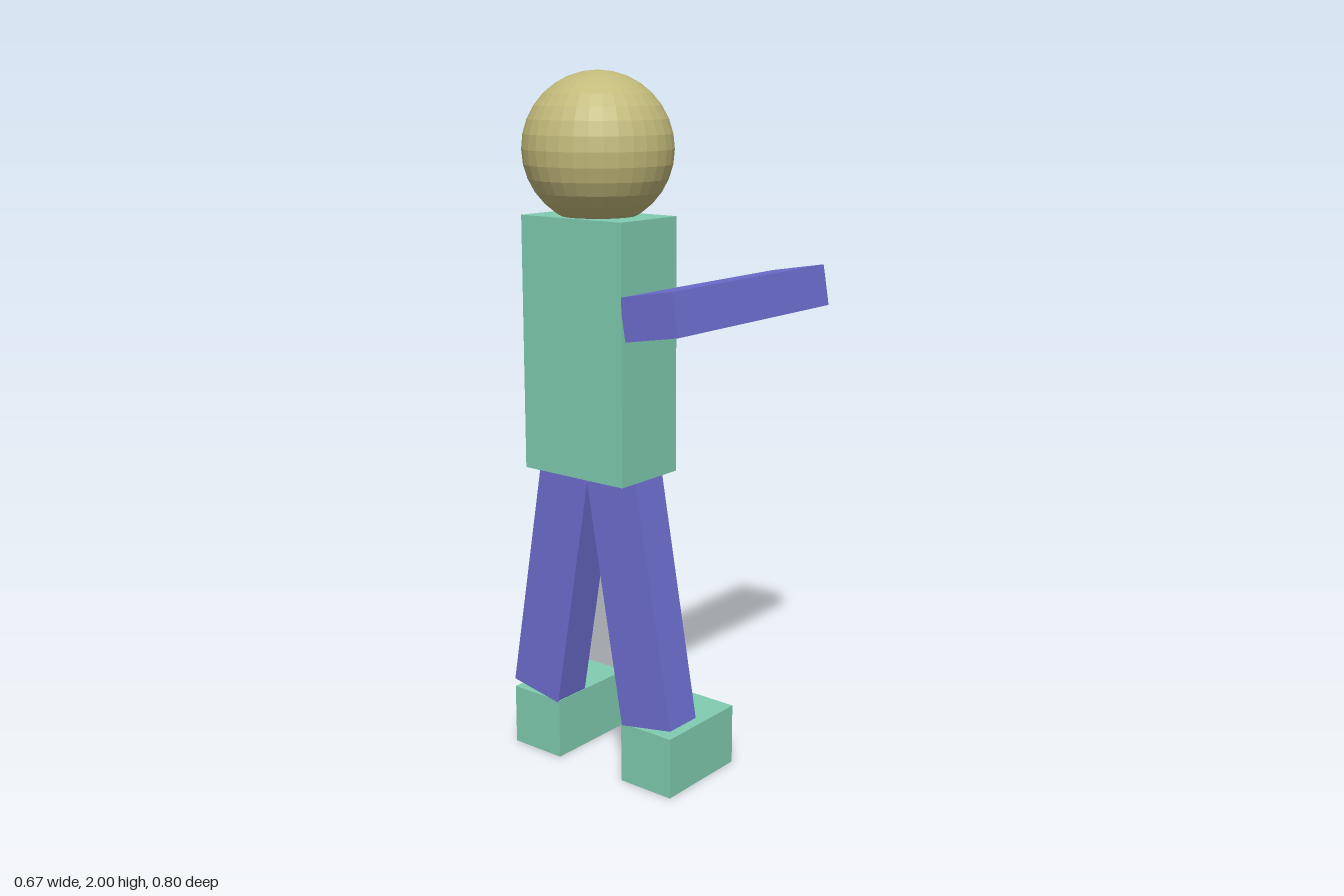
import * as THREE from 'three';

const material = (name, color, flat = false) => {
  const m = new THREE.MeshStandardMaterial({ color, flatShading: flat });
  m.name = name;
  return m;
};

export function createModel() {
  const green = material('mint green', 0x80cdb1);
  const blue = material('periwinkle blue', 0x6d6dd0);
  const tan = material('olive tan', 0xc2ba7a, true);

  const group = new THREE.Group();
  group.name = 'figure';

  const add = (name, geometry, mat, position, tilt = 0) => {
    const mesh = new THREE.Mesh(geometry, mat);
    mesh.name = name;
    mesh.position.set(...position);
    mesh.rotation.z = tilt;
    group.add(mesh);
  };

  const midX = -0.035; // body centre line, offset by the single outstretched arm
  const tilt = THREE.MathUtils.degToRad(10);

  // Head and torso
  add('head', new THREE.SphereGeometry(0.207, 32, 16), tan, [midX, 1.793, 0.193]);
  add('torso', new THREE.BoxGeometry(0.356, 0.714, 0.235), green, [midX, 1.257, 0.194]);

  // Arm reaching backwards, rolled slightly
  add('leftArm', new THREE.BoxGeometry(0.178, 0.119, 0.715), blue, [0.234, 1.375, -0.046], tilt);

  // Splayed legs and block feet
  for (const [side, s] of [['left', 1], ['right', -1]]) {
    add(side + 'Leg', new THREE.BoxGeometry(0.178, 0.714, 0.118), blue,
      [midX + s * 0.149, 0.54, 0.194], s * tilt);
    add(side + 'Foot', new THREE.BoxGeometry(0.178, 0.179, 0.297), green,
      [midX + s * 0.209, 0.0895, 0.104]);
  }
  return group;
}
